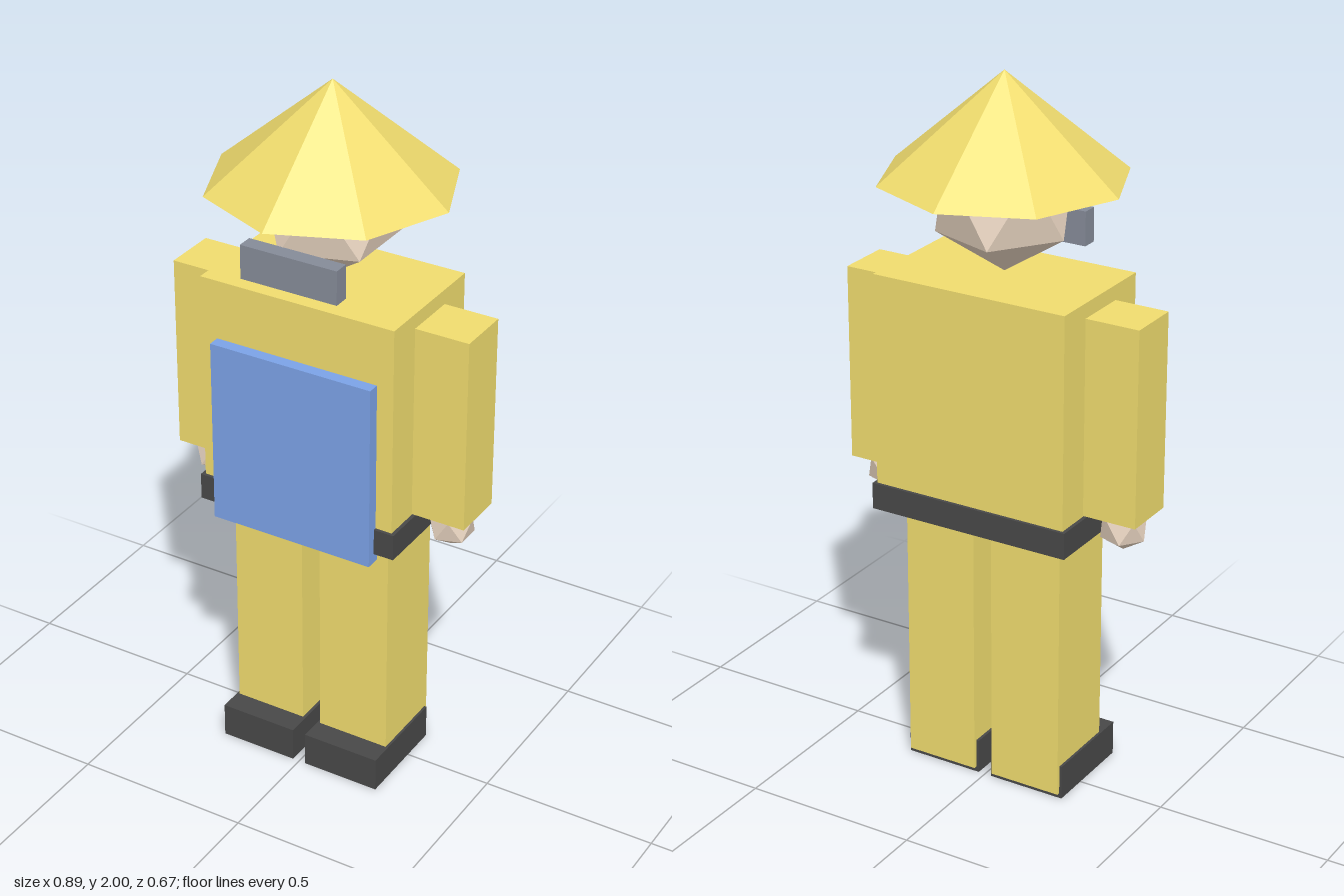
import * as THREE from 'three';

const material = (color) => new THREE.MeshStandardMaterial({ color, flatShading: true });

export function createModel() {
  const model = new THREE.Group();
  model.name = 'figure';
  const yellow = material(0xf0dc6e);
  const dark = material(0x484848);
  const skin = material(0xe8d4c0);
  const blue = material(0x7ba2e6);
  const grey = material(0x858b98);

  const add = (name, geometry, mat, x, y, z) => {
    const mesh = new THREE.Mesh(geometry, mat);
    mesh.name = name;
    mesh.position.set(x, y, z);
    model.add(mesh);
    return mesh;
  };

  // Box given by its extents on each axis
  const box = (name, mat, [x0, x1], [y0, y1], [z0, z1]) =>
    add(name, new THREE.BoxGeometry(x1 - x0, y1 - y0, z1 - z0), mat,
      (x0 + x1) / 2, (y0 + y1) / 2, (z0 + z1) / 2);

  // Icosahedron standing on one vertex
  const gem = (name, mat, [rx, ry, rz], x, y, z) => {
    const geometry = new THREE.IcosahedronGeometry(1, 0);
    geometry.rotateZ(-Math.atan(2 / (1 + Math.sqrt(5))));
    geometry.scale(rx, ry, rz);
    return add(name, geometry, mat, x, y, z);
  };

  // Torso, belt and apron
  box('torso', yellow, [-0.288, 0.288], [0.79, 1.455], [-0.183, 0.183]);
  box('belt', dark, [-0.298, 0.298], [0.783, 0.858], [-0.192, 0.192]);
  box('apron', blue, [-0.24, 0.24], [0.756, 1.286], [0.173, 0.217]);

  // Head with face cover and pointed hat
  gem('head', skin, [0.198, 0.206, 0.205], 0, 1.669, 0);
  box('faceCover', grey, [-0.142, 0.142], [1.502, 1.598], [0.173, 0.217]);
  add('hat', new THREE.ConeGeometry(0.335, 0.284, 8), yellow, 0, 1.858, 0);

  // Mirrored parts: the model's left is +x
  for (const [side, s] of [['left', 1], ['right', -1]]) {
    const span = (a, b) => (s > 0 ? [a, b] : [-b, -a]);
    box(side + 'Arm', yellow, span(0.28, 0.443), [0.86, 1.413], [-0.077, 0.077]);
    gem(side + 'Hand', skin, [0.069, 0.068, 0.068], s * 0.367, 0.82, 0);
    gem(side + 'Eye', dark, [0.023, 0.024, 0.024], s * 0.078, 1.7, 0.192);
    box(side + 'Leg', yellow, span(0.028, 0.24), [0.015, 0.82], [-0.114, 0.115]);
    box(side + 'Shoe', dark, span(0.02, 0.247), [0, 0.1], [-0.104, 0.183]);
  }

  return model;
}
